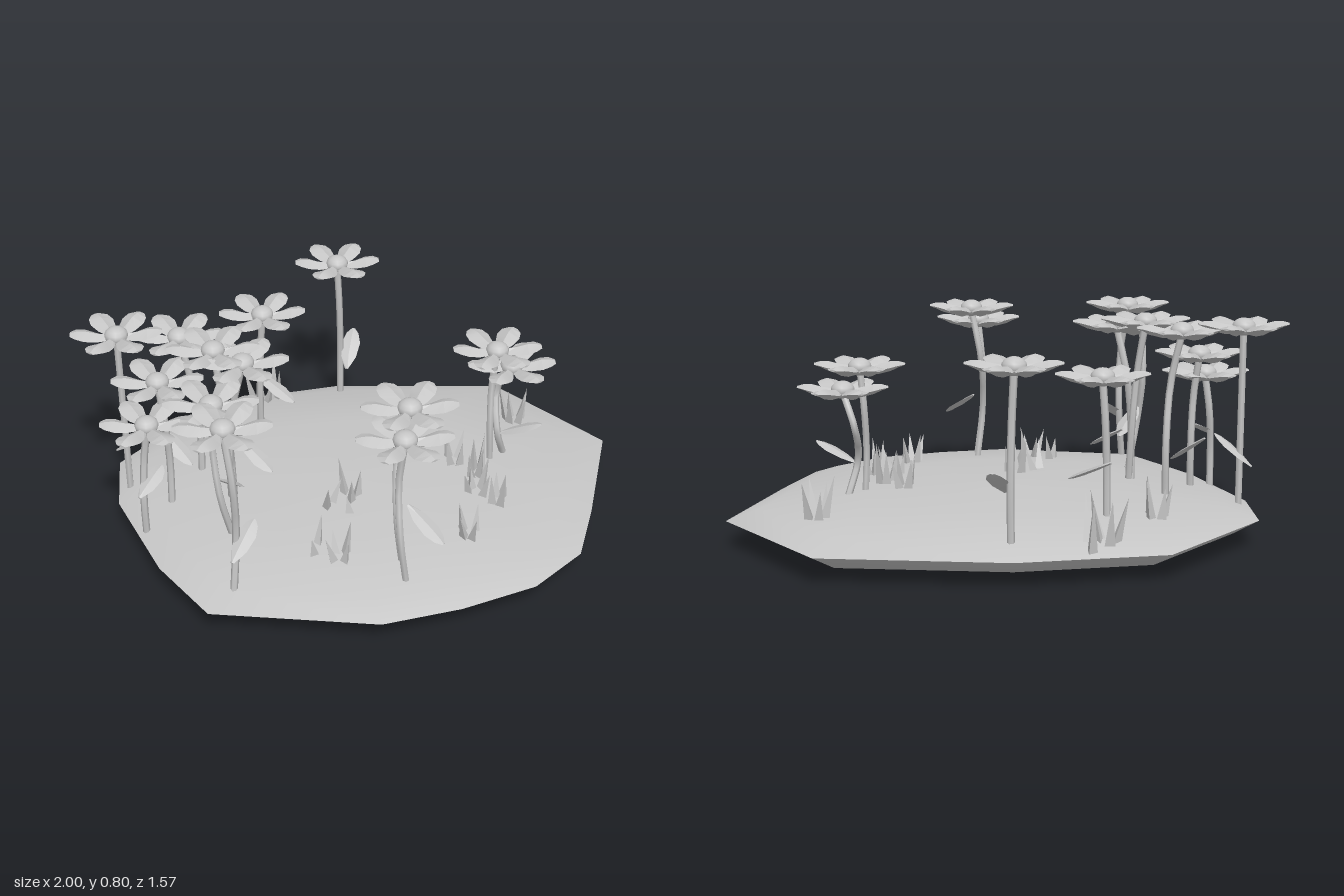
import * as THREE from 'three';
import { toCreasedNormals } from 'three/addons/utils/BufferGeometryUtils.js';

const grey = new THREE.MeshStandardMaterial({ color: 0xc6c6c6 });
grey.name = 'plain grey';

const V = (x, y, z) => new THREE.Vector3(x, y, z);

// Closed skin over rings of equal length, with both ends capped by a centre point
function skin(rings, crease) {
  const n = rings[0].length, pos = [], index = [];
  const put = p => { pos.push(p.x, p.y, p.z); return pos.length / 3 - 1; };
  rings.forEach(ring => ring.forEach(put));
  for (let r = 0; r < rings.length - 1; r++) {
    for (let i = 0; i < n; i++) {
      const a = r * n + i, b = r * n + (i + 1) % n;
      index.push(a, b, a + n, b, b + n, a + n);
    }
  }
  const mid = ring => ring.reduce((s, p) => s.add(p), V(0, 0, 0)).divideScalar(n);
  const first = put(mid(rings[0])), last = put(mid(rings[rings.length - 1]));
  const off = (rings.length - 1) * n;
  for (let i = 0; i < n; i++) {
    const j = (i + 1) % n;
    index.push(first, j, i, last, off + i, off + j);
  }
  const g = new THREE.BufferGeometry();
  g.setAttribute('position', new THREE.Float32BufferAttribute(pos, 3));
  g.setIndex(index);
  return toCreasedNormals(g, crease);
}

// Blade-like form along +x from sections [x, half width, top y, bottom y]
const blade = sections => skin(sections.map(([x, w, t, b]) => {
  const m = (t + b) / 2;
  return [V(x, m, w), V(x, b, 0), V(x, m, -w), V(x, t, 0)];
}), 0.3);

function mesh(name, geometry, parent) {
  const m = new THREE.Mesh(geometry, grey);
  m.name = name;
  parent.add(m);
  return m;
}

// Island rim (x, z) and its height profile (scale, y) from the underside to the crown
const rim = [[-0.54, -0.66], [-0.89, -0.25], [-0.88, 0.02], [-0.72, 0.42], [-0.55, 0.68],
  [0.03, 0.78], [0.31, 0.72], [0.58, 0.62], [0.77, 0.45], [0.86, 0.2], [1, -0.26],
  [0.64, -0.7], [-0.02, -0.75]];
const profile = [[0.04, 0], [0.55, 0.01], [0.9, 0.045], [1, 0.1], [0.88, 0.138], [0.5, 0.172], [0.05, 0.185]];

// Ground height beneath a point, found from its share of the rim distance
function groundY(x, z) {
  let s = 0;
  rim.forEach(([ax, az], i) => {
    const [bx, bz] = rim[(i + 1) % rim.length];
    const nx = bz - az, nz = ax - bx;
    s = Math.max(s, (x * nx + z * nz) / (ax * nx + az * nz));
  });
  for (let i = 3; i < profile.length - 1; i++) {
    const [s0, y0] = profile[i], [s1, y1] = profile[i + 1];
    if (s >= s1) return y0 + (y1 - y0) * (s0 - Math.min(s, s0)) / (s0 - s1);
  }
  return 0.185;
}

// Head x, y, z, then the offset of the stem's foot and the sideways bow of its middle
const flowers = [
  [-0.84, 0.765, -0.07, 0, 0, 0],
  [-0.70, 0.645, 0.06, 0.02, 0.02, 0.01],
  [-0.74, 0.55, 0.19, -0.03, 0.02, -0.01],
  [-0.62, 0.75, -0.07, 0.05, -0.03, 0.02],
  [-0.50, 0.765, 0.06, 0.05, 0.03, 0.01],
  [-0.40, 0.745, 0.12, -0.06, -0.03, -0.02],
  [-0.51, 0.705, 0.32, 0.05, -0.02, -0.02],
  [-0.47, 0.755, 0.55, 0.01, 0.05, 0.02],
  [-0.32, 0.645, -0.40, -0.02, 0, -0.005],
  [-0.02, 0.725, -0.64, 0.01, -0.01, 0.005],
  [0.145, 0.755, 0.47, -0.02, 0.03, -0.03],
  [0.12, 0.695, 0.57, 0.01, 0.03, -0.02],
  [0.53, 0.625, -0.10, -0.01, 0.02, -0.01],
  [0.59, 0.545, -0.12, -0.01, -0.01, -0.04],
];

// Leaves as lower and upper ends
const leaves = [
  [0.01, 0.29, -0.57, 0.05, 0.39, -0.72],
  [0.14, 0.40, 0.52, 0.25, 0.31, 0.63],
  [-0.35, 0.36, -0.45, -0.21, 0.28, -0.35],
  [-0.88, 0.26, -0.10, -0.75, 0.37, -0.04],
  [-0.71, 0.36, -0.08, -0.60, 0.26, 0.02],
  [-0.78, 0.30, 0.27, -0.70, 0.36, 0.16],
  [-0.50, 0.40, 0.32, -0.42, 0.30, 0.22],
  [-0.46, 0.28, 0.64, -0.38, 0.37, 0.52],
  [-0.42, 0.37, 0.03, -0.31, 0.29, 0.13],
  [0.55, 0.27, -0.09, 0.70, 0.34, -0.03],
];

// Grass tufts: x, z, height, number of blades
const tufts = [
  [-0.33, -0.61, 0.19, 5], [-0.27, -0.65, 0.2, 2], [-0.51, -0.37, 0.16, 4],
  [0.66, -0.37, 0.17, 5], [0.38, -0.06, 0.15, 4], [0.45, 0.02, 0.17, 4],
  [0.44, 0.14, 0.14, 4], [0.51, 0.19, 0.14, 4], [-0.03, 0.15, 0.16, 3],
  [-0.12, 0.18, 0.12, 2], [-0.01, 0.25, 0.1, 1], [0.38, 0.38, 0.15, 4],
  [-0.17, 0.43, 0.12, 2], [-0.09, 0.48, 0.14, 4],
];

export function createModel() {
  const model = new THREE.Group();
  model.name = 'flowerIsland';

  // Ground
  mesh('ground', skin(profile.map(([s, y]) => rim.map(([x, z]) => V(x * s, y, z * s))), 0.7), model);

  // Flowers with bowed stems and six cupped petals
  const petal = blade([[0.02, 0.014, 0.004, -0.024], [0.07, 0.034, 0.012, -0.024],
    [0.11, 0.044, 0.022, -0.014], [0.14, 0.037, 0.022, 0], [0.162, 0.017, 0.016, 0.008]]);
  const centre = new THREE.SphereGeometry(0.043, 12, 8);
  flowers.forEach(([x, y, z, fx, fz, bow]) => {
    const flower = new THREE.Group();
    flower.name = 'flower';
    model.add(flower);
    const foot = V(x + fx, groundY(x + fx, z + fz) - 0.015, z + fz);
    const at = t => foot.clone().lerp(V(x, y - 0.01, z), t);
    const path = new THREE.CatmullRomCurve3([foot, at(0.35).add(V(bow, 0, -bow)),
      at(0.7).add(V(bow, 0, bow)), at(1)]);
    mesh('stem', new THREE.TubeGeometry(path, 8, 0.013, 6), flower);
    const head = new THREE.Group();
    head.name = 'flowerHead';
    head.position.set(x, y, z);
    flower.add(head);
    for (let i = 0; i < 6; i++) mesh('petal', petal, head).rotation.y = i * Math.PI / 3;
    const c = mesh('flowerCentre', centre, head);
    c.scale.y = 0.75;
    c.position.y = 0.002;
  });

  // Leaves
  const leaf = blade([[0, 0.006, 0.004, -0.004], [0.3, 0.03, 0.007, -0.007],
    [0.65, 0.037, 0.008, -0.008], [0.88, 0.024, 0.006, -0.006], [1, 0.006, 0.002, -0.002]]);
  leaves.forEach(([ax, ay, az, bx, by, bz]) => {
    const a = V(ax, ay, az), dir = V(bx, by, bz).sub(a), length = dir.length();
    dir.normalize();
    const side = dir.clone().cross(V(0, 1, 0)).normalize();
    const m = mesh('leaf', leaf, model);
    m.quaternion.setFromRotationMatrix(new THREE.Matrix4().makeBasis(dir, side.clone().cross(dir), side));
    m.position.copy(a);
    m.scale.x = length;
  });

  // Grass blades: leaning three-sided spikes
  let seed = 7;
  const rand = () => (seed = (seed * 16807) % 2147483647) / 2147483647;
  tufts.forEach(([x, z, height, count]) => {
    const tuft = new THREE.Group();
    tuft.name = 'grassTuft';
    tuft.position.set(x, groundY(x, z) - 0.012, z);
    model.add(tuft);
    for (let i = 0; i < count; i++) {
      const turn = (i + rand() * 0.6) / count * Math.PI * 2;
      const h = height * (0.65 + 0.35 * rand()), lean = 0.1 + 0.25 * rand();
      const g = new THREE.ConeGeometry(0.021, h, 3).toNonIndexed();
      g.translate(0, h / 2, 0);
      g.rotateY(rand() * 6);
      g.applyMatrix4(new THREE.Matrix4().set(1, lean, 0, 0.026, 0, 1, 0, 0, 0, 0, 1, 0, 0, 0, 0, 1));
      g.rotateY(turn);
      g.computeVertexNormals();
      mesh('grassBlade', g, tuft);
    }
  });
  return model;
}
